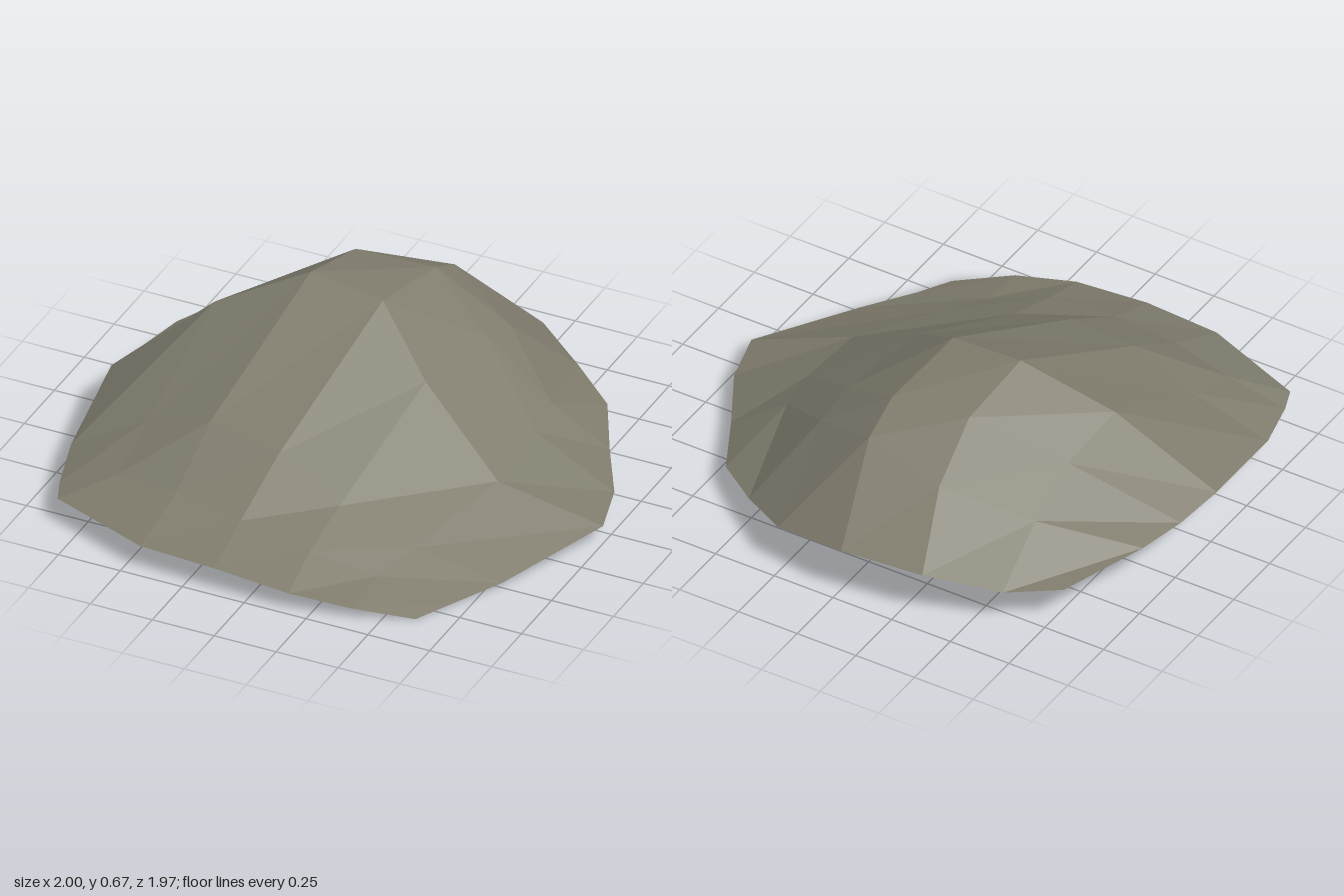
import * as THREE from 'three';

// Cross-sections of the boulder from back to front, each a list of [x, y, z] from right (-x) to left (+x).
const backRim = [[-0.8, 0.16, -0.7], [-0.62, 0.16, -0.83], [-0.35, 0.21, -0.95], [-0.03, 0.22, -0.99], [0.27, 0.175, -0.94], [0.48, 0.13, -0.8], [0.67, 0.1, -0.65]];
const backSlope = [[-0.93, 0.18, -0.36], [-0.6, 0.31, -0.57], [-0.27, 0.42, -0.7], [0.04, 0.51, -0.68], [0.32, 0.395, -0.56], [0.58, 0.24, -0.37], [0.8, 0.085, -0.4]];
const shoulder = [[-0.97, 0.18, -0.16], [-0.6, 0.425, -0.34], [-0.27, 0.6, -0.49], [0.04, 0.59, -0.52], [0.31, 0.44, -0.39], [0.61, 0.23, -0.18], [0.94, 0.08, -0.15]];
const ridge = [[-1, 0.2, 0.04], [-0.64, 0.505, -0.08], [-0.3, 0.67, -0.18], [0, 0.64, -0.16], [0.25, 0.45, 0], [0.61, 0.2, 0.14], [1, 0.075, 0.07]];
const frontSlope = [[-0.95, 0.125, 0.48], [-0.67, 0.27, 0.42], [-0.4, 0.36, 0.45], [-0.1, 0.33, 0.5], [0.17, 0.21, 0.555], [0.47, 0.11, 0.55], [0.8, 0.02, 0.5]];
const frontFoot = [[-0.89, 0.105, 0.7], [-0.67, 0.18, 0.67], [-0.41, 0.2, 0.72], [-0.13, 0.18, 0.76], [0.16, 0.14, 0.78], [0.4, 0.07, 0.73], [0.68, 0.005, 0.7]];
const frontRim = [[-0.85, 0.1, 0.8], [-0.67, 0.1, 0.87], [-0.44, 0.1, 0.96], [-0.13, 0.1, 0.98], [0.17, 0.075, 0.98], [0.4, 0.045, 0.93], [0.61, 0, 0.83]];

// Joins neighbouring cross-sections into one faceted open surface.
function loftSections(sections) {
  const columns = sections[0].length;
  const index = [];
  for (let r = 0; r < sections.length - 1; r++) {
    for (let c = 0; c < columns - 1; c++) {
      const a = r * columns + c;
      const b = a + 1;
      const d = a + columns;
      const e = d + 1;
      index.push(a, d, b, b, d, e);
    }
  }
  const indexed = new THREE.BufferGeometry();
  indexed.setAttribute('position', new THREE.Float32BufferAttribute(sections.flat(2), 3));
  indexed.setIndex(index);
  const geometry = indexed.toNonIndexed();
  geometry.computeVertexNormals();
  return geometry;
}

export function createModel() {
  const stone = new THREE.MeshStandardMaterial({
    color: 0x807d6e,
    flatShading: true,
    side: THREE.DoubleSide,
  });
  stone.name = 'greyBrownStone';

  // Hollow rock shell, open underneath
  const rock = new THREE.Mesh(
    loftSections([backRim, backSlope, shoulder, ridge, frontSlope, frontFoot, frontRim]),
    stone
  );
  rock.name = 'rockShell';

  const model = new THREE.Group();
  model.name = 'rock';
  model.add(rock);
  return model;
}
